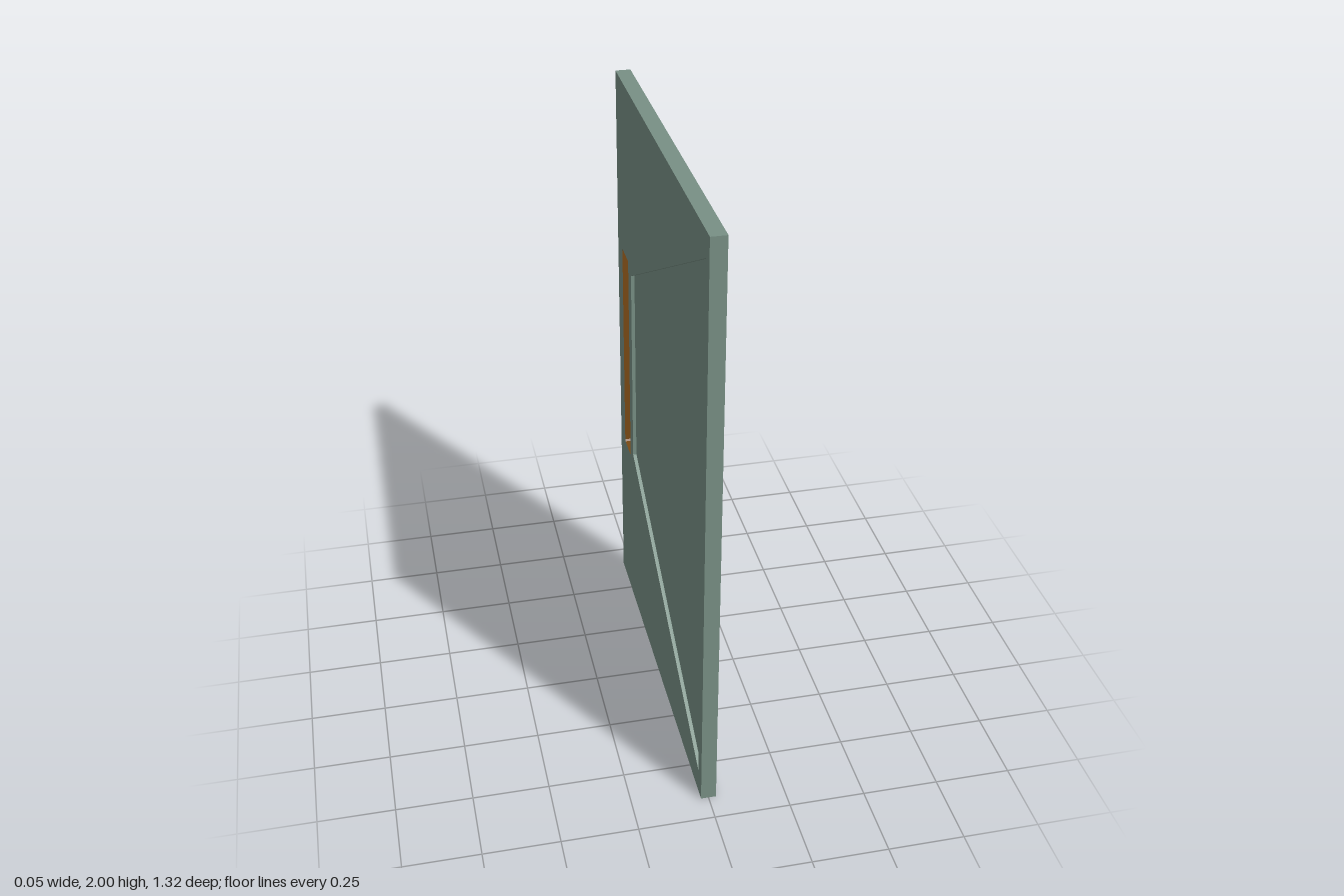
import * as THREE from 'three';

const HALF = 0.025; // half of the panel thickness

// Outlines as [z, y]
const PANEL = [[-0.66, 0], [0.66, 0], [0.66, 2], [-0.66, 2]];
const TRAPEZOID = [[0.62, 0.085], [0.62, 1.92], [-0.435, 1.36], [-0.435, 0.645]];
const c = 0.006; // clipped corners of the hand pull
const PULL = [
  [-0.585 + c, 0.613], [-0.483 - c, 0.613], [-0.483, 0.613 + c], [-0.483, 1.392 - c],
  [-0.483 - c, 1.392], [-0.585 + c, 1.392], [-0.585, 1.392 - c], [-0.585, 0.613 + c],
];

// Counter-clockwise outline as seen from one side of the panel
function outline(points, side) {
  const pts = points.map(([z, y]) => new THREE.Vector2(-side * z, y));
  return THREE.ShapeUtils.isClockWise(pts) ? pts.reverse() : pts;
}

// Strip of quads between two depths, facing the inside of a counter-clockwise outline
function walls(pts, low, high) {
  const pos = [];
  pts.forEach((a, i) => {
    const b = pts[(i + 1) % pts.length];
    pos.push(b.x, b.y, low, a.x, a.y, low, a.x, a.y, high);
    pos.push(b.x, b.y, low, a.x, a.y, high, b.x, b.y, high);
  });
  const geo = new THREE.BufferGeometry();
  geo.setAttribute('position', new THREE.Float32BufferAttribute(pos, 3));
  geo.computeVertexNormals();
  return geo;
}

export function createModel() {
  const green = new THREE.MeshStandardMaterial({ color: 0x789085 });
  green.name = 'sage green';
  const brown = new THREE.MeshStandardMaterial({ color: 0x7a4a14 });
  brown.name = 'brown';

  const model = new THREE.Group();
  model.name = 'slidingDoor';

  const add = (parent, name, geo, mat) => {
    const mesh = new THREE.Mesh(geo, mat);
    mesh.name = name;
    parent.add(mesh);
  };

  for (const side of [1, -1]) {
    const half = new THREE.Group();
    half.name = side > 0 ? 'leftSide' : 'rightSide';
    half.rotation.y = side * Math.PI / 2;
    model.add(half);

    // Flat face, cut out around its recesses
    const face = new THREE.Shape(outline(PANEL, side));
    const recesses = [
      { name: 'trapezoidRecess', pts: outline(TRAPEZOID, side), depth: 0.012, wall: green },
      { name: 'handPull', pts: outline(PULL, side), depth: 0.02, wall: side > 0 ? green : brown },
    ];
    for (const r of recesses) face.holes.push(new THREE.Path(r.pts));
    add(half, 'doorFace', new THREE.ShapeGeometry(face).translate(0, 0, HALF), green);

    // Sunken floors with their side walls
    for (const r of recesses) {
      const floor = new THREE.ShapeGeometry(new THREE.Shape(r.pts)).translate(0, 0, HALF - r.depth);
      add(half, r.name + 'Floor', floor, green);
      add(half, r.name + 'Walls', walls(r.pts, HALF - r.depth, HALF), r.wall);
    }

    // Outer edge of this half of the thickness
    add(half, 'doorEdge', walls(outline(PANEL, side).reverse(), 0, HALF), green);
  }
  return model;
}
